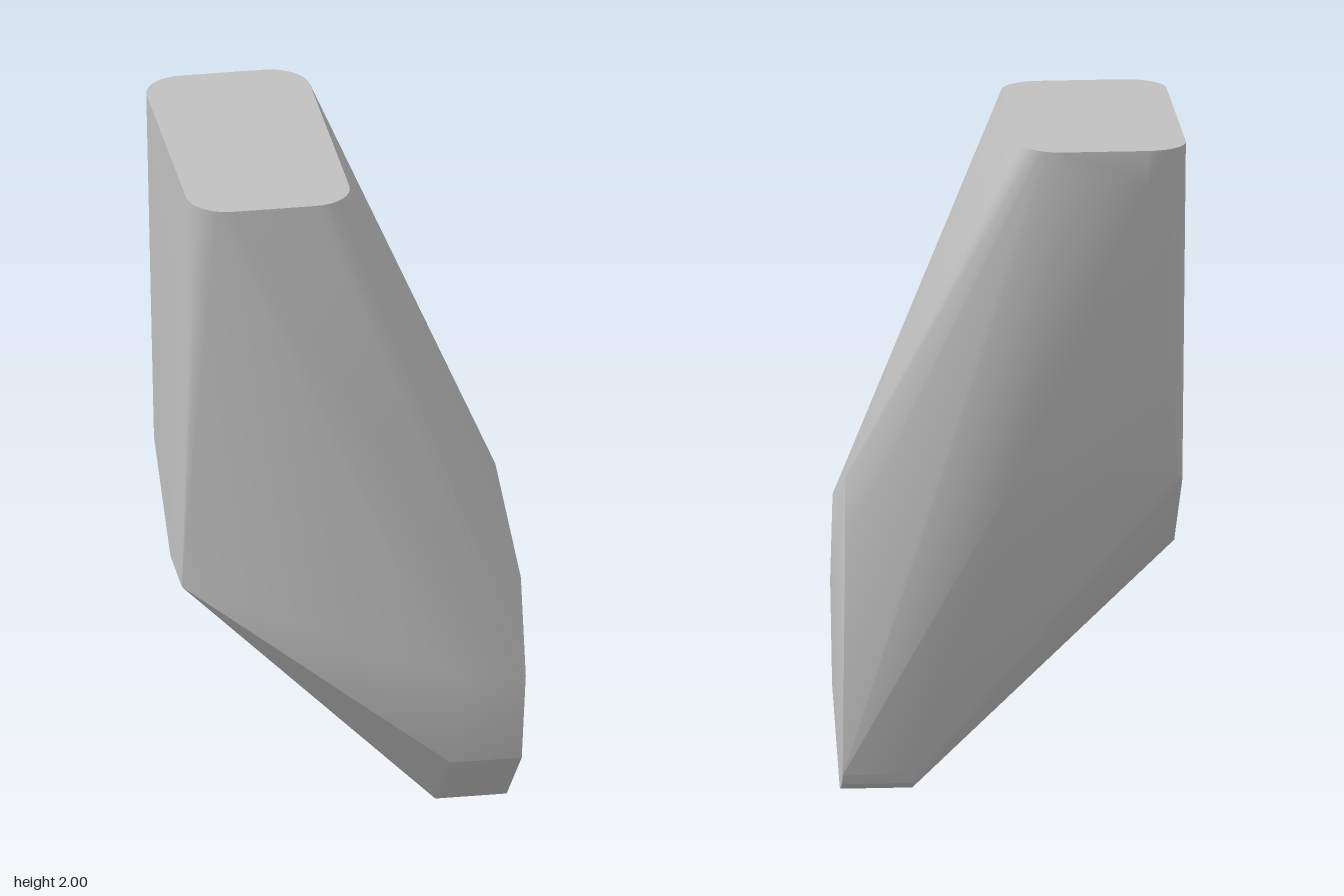
import * as THREE from 'three';
import { ConvexGeometry } from 'three/addons/geometries/ConvexGeometry.js';
import { toCreasedNormals } from 'three/addons/utils/BufferGeometryUtils.js';

const V = (x, y, z) => new THREE.Vector3(x, y, z);

// Rounded rectangle lying at height y
function roundedRing(x0, x1, z0, z1, r, y, steps = 8) {
  const points = [];
  const corners = [[x1 - r, z1 - r], [x0 + r, z1 - r], [x0 + r, z0 + r], [x1 - r, z0 + r]];
  corners.forEach(([cx, cz], i) => {
    for (let k = 0; k <= steps; k++) {
      const a = (i + k / steps) * Math.PI / 2;
      points.push(V(cx + r * Math.cos(a), y, cz + r * Math.sin(a)));
    }
  });
  return points;
}

export function createModel() {
  const group = new THREE.Group();
  group.name = 'taperedBlock';
  const grey = new THREE.MeshStandardMaterial({ color: 0xc0c0c0 });
  grey.name = 'light grey';

  // Flat rounded top, with a short upright lip at the back
  const points = roundedRing(-0.47, 0, -0.515, 0.4, 0.115, 2);
  points.push(V(-0.355, 1.91, -0.515), V(-0.115, 1.91, -0.515));

  // Foot: the same [y, z] outline at both ends of the lower edge
  const foot = [[0.53, 0.515], [0.24, 0.445], [0.02, 0.2], [0.003, 0.18],
    [0.003, 0.155], [0.03, 0.095], [0.06, 0.075]];
  for (const x of [0.265, 0.47]) for (const [y, z] of foot) points.push(V(x, y, z));

  // Upper edge of the flat end
  points.push(V(0.47, 0.8, 0.43), V(0.47, 0.95, -0.013), V(0.47, 0.75, -0.013));

  // Lower edge of the flat side and the back ridge
  points.push(V(-0.47, 0.74, 0.21), V(-0.47, 0.745, 0.01), V(-0.47, 0.985, -0.275),
    V(-0.455, 1.01, -0.295), V(0, 1.02, -0.305));

  const body = new THREE.Mesh(toCreasedNormals(new ConvexGeometry(points), 0.52), grey);
  body.name = 'body';
  group.add(body);
  return group;
}
